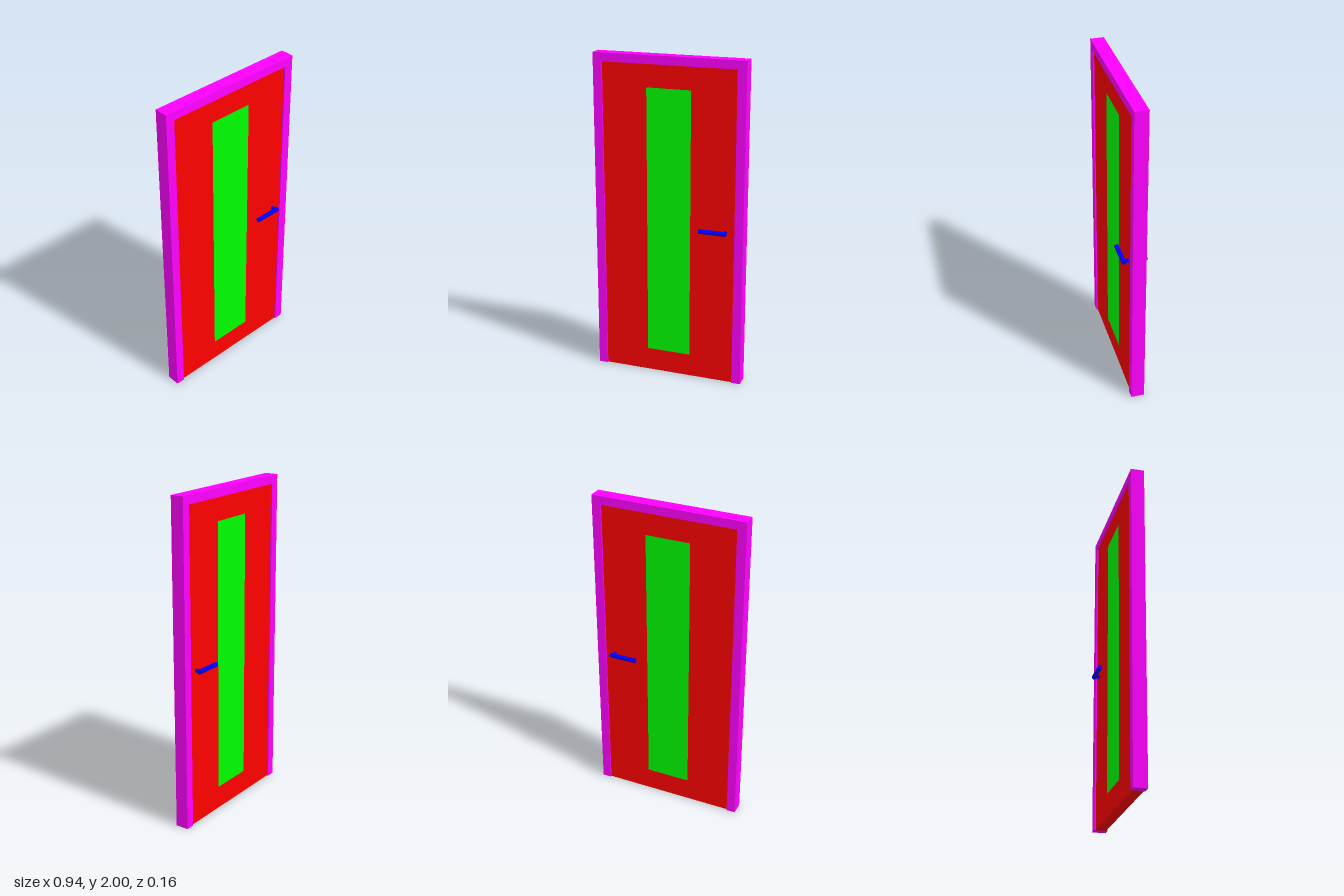
import * as THREE from 'three';

const mat = (color) => new THREE.MeshStandardMaterial({ color });

function part(name, geometry, material, x = 0, y = 0, z = 0) {
  const mesh = new THREE.Mesh(geometry, material);
  mesh.name = name;
  mesh.position.set(x, y, z);
  return mesh;
}

// Extrude a flat outline, centred on z = 0
function slab(shape, depth) {
  return new THREE.ExtrudeGeometry(shape, { depth, bevelEnabled: false }).translate(0, 0, -depth / 2);
}

const points = (list) => list.map(([x, y]) => new THREE.Vector2(x, y));

export function createModel() {
  const door = new THREE.Group();
  door.name = 'door';

  const W = 0.471, H = 2, frameDepth = 0.082;
  const w = 0.416, h = 1.948, leafDepth = 0.064;
  const gw = 0.138, g0 = 0.142, g1 = 1.81;

  // Frame: two jambs and a head, open at the floor
  const frame = new THREE.Shape(points([
    [-W, 0], [-w, 0], [-w, h], [w, h], [w, 0], [W, 0], [W, H], [-W, H],
  ]));
  door.add(part('frame', slab(frame, frameDepth), mat(0xff00ff)));

  // Door leaf, slightly recessed, with an opening for the pane
  const leaf = new THREE.Shape(points([[-w, 0], [w, 0], [w, h], [-w, h]]));
  leaf.holes.push(new THREE.Path(points([[-gw, g0], [-gw, g1], [gw, g1], [gw, g0]])));
  door.add(part('doorLeaf', slab(leaf, leafDepth), mat(0xff0000)));

  // Tall pane, flush with the leaf on both sides
  door.add(part('pane', new THREE.BoxGeometry(gw * 2, g1 - g0, leafDepth),
    mat(0x00ff00), 0, (g0 + g1) / 2, 0));

  // Lever handles on both faces, joined by a spindle through the leaf
  const handle = new THREE.Group();
  handle.name = 'handle';
  handle.position.y = 0.975;
  const blue = mat(0x0000ff);
  const gripZ = 0.064;
  for (const side of [1, -1]) {
    const grip = new THREE.CylinderGeometry(0.014, 0.014, 0.169, 32).rotateZ(Math.PI / 2);
    handle.add(part(side > 0 ? 'frontLever' : 'backLever', grip, blue, 0.287, 0, side * gripZ));
  }
  const spindle = new THREE.CylinderGeometry(0.0115, 0.0115, gripZ * 2, 32).rotateX(Math.PI / 2);
  handle.add(part('spindle', spindle, blue, 0.357, 0, 0));
  door.add(handle);

  return door;
}
